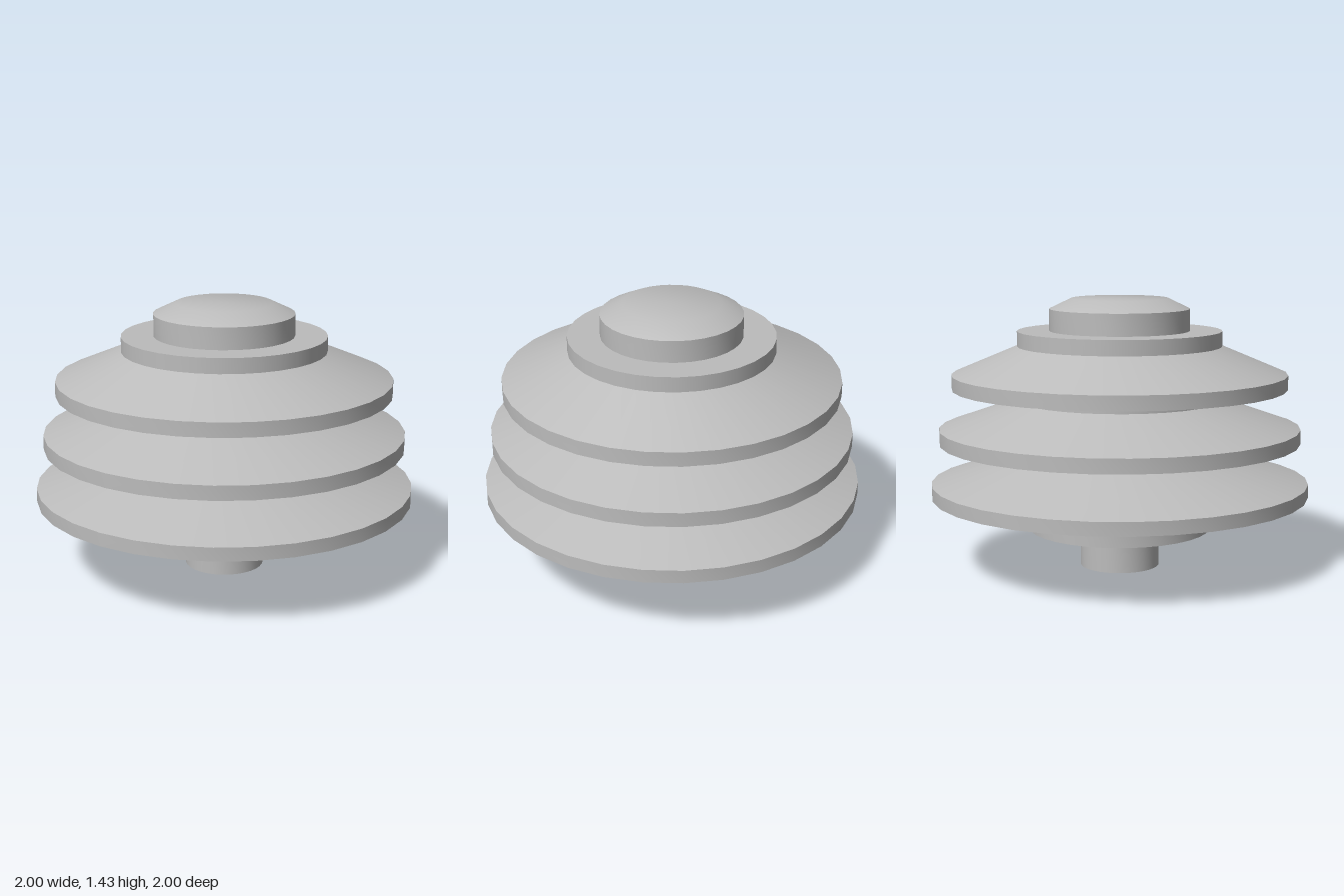
import * as THREE from 'three';
import { toCreasedNormals } from 'three/addons/utils/BufferGeometryUtils.js';

const SIDES = 32;

export function createModel() {
  const group = new THREE.Group();
  const porcelain = new THREE.MeshStandardMaterial({ color: 0xbcbcbc });
  porcelain.name = 'grey porcelain';

  // Turned part: profile runs bottom to top as [radius, height]
  function turned(name, profile) {
    const points = profile.map(([r, y]) => new THREE.Vector2(r, y));
    const geometry = toCreasedNormals(new THREE.LatheGeometry(points, SIDES), 0.5);
    const mesh = new THREE.Mesh(geometry, porcelain);
    mesh.name = name;
    group.add(mesh);
  }

  // Mounting stem and stepped base
  turned('stem', [[0, 0], [0.21, 0], [0.21, 0.205]]);
  turned('baseCollar', [[0, 0.205], [0.485, 0.205], [0.485, 0.29]]);

  // Central core, visible between the sheds
  const coreRadius = 0.54;
  turned('core', [[0, 0.29], [coreRadius, 0.29], [coreRadius, 1.26], [0, 1.26]]);

  // Three sheds, shrinking upward: [rim radius, underside, rim bottom, rim top, cone top]
  const sheds = [
    ['lowerShed', 1.0, 0.35, 0.39, 0.46, 0.605],
    ['middleShed', 0.955, 0.635, 0.675, 0.75, 0.895],
    ['upperShed', 0.885, 0.925, 0.96, 1.035, 1.18],
  ];
  for (const [name, rim, under, rimBottom, rimTop, top] of sheds) {
    turned(name, [[coreRadius, under], [rim, rimBottom], [rim, rimTop], [coreRadius, top]]);
  }

  // Cap with a softly rounded top
  turned('cap', [[0.37, 1.26], [0.37, 1.375], [0.255, 1.43], [0, 1.43]]);

  return group;
}
